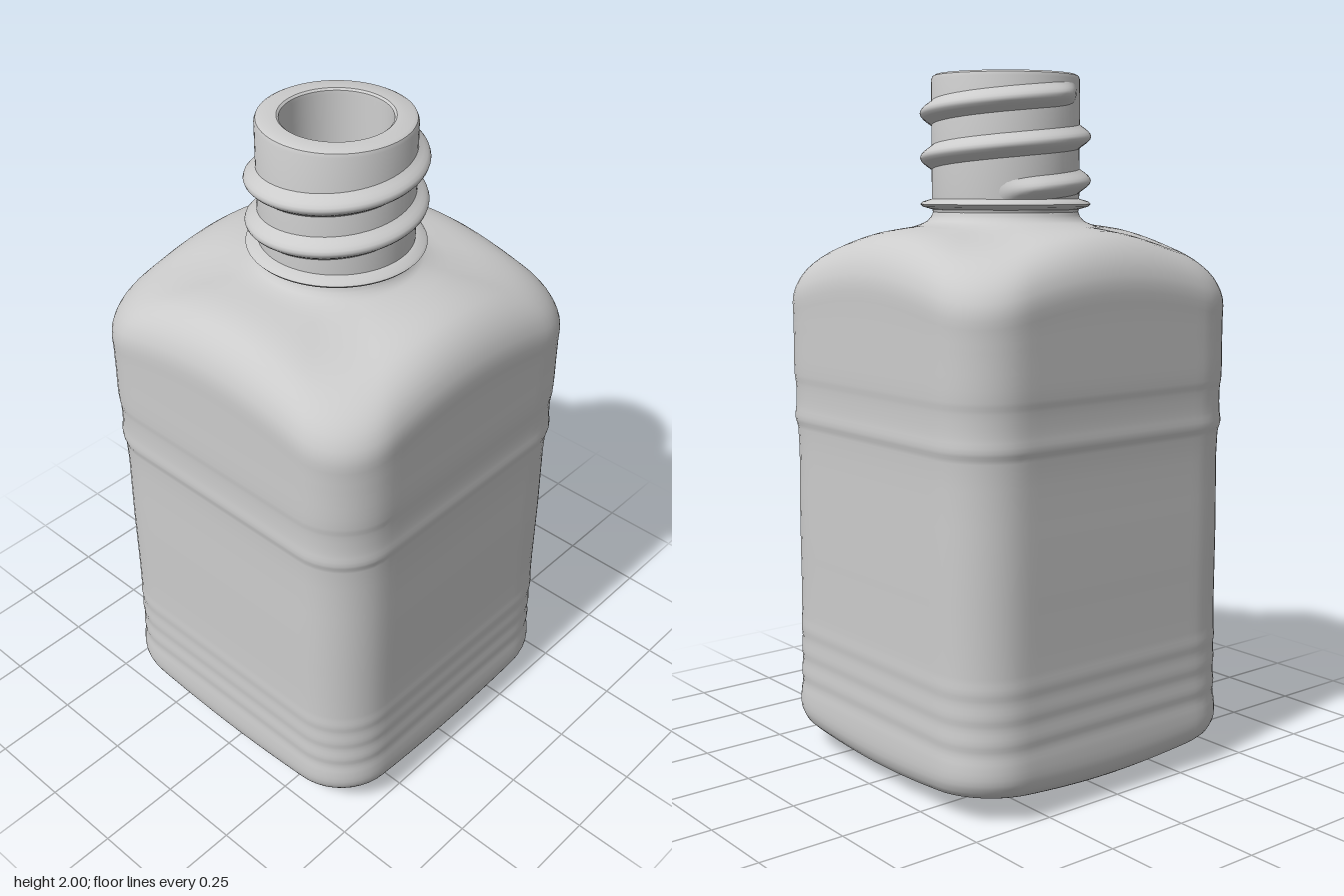
import * as THREE from 'three';
import { toCreasedNormals } from 'three/addons/utils/BufferGeometryUtils.js';

const material = new THREE.MeshStandardMaterial({ color: 0xcccccc, side: THREE.DoubleSide });

// Surface from cross-sections: point(i, j) with i along the loop, j from bottom to top
function gridGeometry(cols, rows, wrap, point) {
  const positions = [], index = [];
  for (let j = 0; j < rows; j++) for (let i = 0; i < cols; i++) positions.push(...point(i, j));
  for (let j = 0; j < rows - 1; j++) {
    for (let i = 0; i < (wrap ? cols : cols - 1); i++) {
      const n = (i + 1) % cols;
      const a = j * cols + i, b = j * cols + n, c = a + cols, d = b + cols;
      index.push(a, b, d, a, d, c);
    }
  }
  const geometry = new THREE.BufferGeometry();
  geometry.setAttribute('position', new THREE.Float32BufferAttribute(positions, 3));
  geometry.setIndex(index);
  geometry.computeVertexNormals();
  return geometry;
}

// Distance from the centre to a rounded square of half-width 1, along an angle
function roundedSquare(angle, corner = 0.35) {
  const c = Math.abs(Math.cos(angle)), s = Math.abs(Math.sin(angle));
  const q = 1 - corner, hi = Math.max(c, s), lo = Math.min(c, s);
  if (lo / hi <= q) return 1 / hi;
  const b = q * (c + s);
  return b + Math.sqrt(b * b - 2 * q * q + corner * corner);
}

// Square body: each section is half-width, height, roundness (0 square, 1 circle)
function bodyGeometry() {
  const sections = [
    [0, 0, 1], [0.2, 0.003, 0.9], [0.33, 0.012, 0.5], [0.4, 0.024, 0.2], [0.45, 0.042, 0.08],
    [0.482, 0.066, 0], [0.495, 0.1, 0], [0.495, 0.16, 0],
    // shallow ripples near the foot
    [0.491, 0.2, 0], [0.493, 0.23, 0], [0.49, 0.27, 0], [0.492, 0.3, 0], [0.49, 0.34, 0],
    [0.492, 0.37, 0], [0.49, 0.41, 0], [0.49, 0.7, 0], [0.49, 0.98, 0],
    // label step
    [0.496, 1.01, 0], [0.493, 1.05, 0], [0.493, 1.11, 0], [0.496, 1.14, 0], [0.496, 1.25, 0],
    [0.496, 1.35, 0],
    // shoulder
    [0.495, 1.43, 0], [0.476, 1.485, 0.02], [0.44, 1.53, 0.1], [0.385, 1.559, 0.3],
    [0.31, 1.572, 0.6], [0.245, 1.581, 0.9], [0.217, 1.597, 1], [0.207, 1.62, 1],
  ];
  const profile = new THREE.CatmullRomCurve3(
    sections.map((s) => new THREE.Vector3(...s)), false, 'centripetal');
  const rows = (sections.length - 1) * 3 + 1, cols = 144;
  const cornerMax = roundedSquare(Math.PI / 4) - 1;
  return gridGeometry(cols, rows, true, (i, j) => {
    const p = profile.getPoint(j / (rows - 1));
    const angle = (i / cols) * Math.PI * 2;
    const square = roundedSquare(angle), round = THREE.MathUtils.clamp(p.z, 0, 1);
    const r = p.x * THREE.MathUtils.lerp(square, 1, round);
    // corners sit lower at the shoulder and higher at the foot
    const k = ((square - 1) / cornerMax) * (1 - round);
    const drop = 0.06 * THREE.MathUtils.smoothstep(p.y, 1.2, 1.43);
    const lift = 0.02 * (1 - THREE.MathUtils.smoothstep(p.y, 0.08, 0.2));
    return [r * Math.cos(angle), p.y + k * (lift - drop), -r * Math.sin(angle)];
  });
}

// Neck with collar, rim, bore and rounded bore floor
function neckGeometry() {
  const outline = [
    [0.207, 1.6], [0.212, 1.62], [0.24, 1.628], [0.246, 1.635], [0.24, 1.642], [0.213, 1.65],
    [0.213, 1.985], [0.209, 1.995], [0.2, 2], [0.155, 2], [0.149, 1.995], [0.148, 1.985],
  ];
  for (let i = 0; i <= 10; i++) {
    const a = (i / 10) * Math.PI / 2;
    outline.push([Math.max(0, 0.148 * Math.cos(a)), 1.65 - 0.148 * Math.sin(a)]);
  }
  const lathe = new THREE.LatheGeometry(outline.map((p) => new THREE.Vector2(...p)), 72);
  return toCreasedNormals(lathe, 0.6);
}

// Helical ridge that sinks into the neck at both ends
function threadGeometry() {
  const start = -Math.PI * 2 - 0.9, end = Math.PI * 2 + 0.7;
  const steps = 180, across = 11, pitch = 0.125;
  return gridGeometry(steps + 1, across, false, (i, j) => {
    const turn = start + (i / steps) * (end - start);
    const fade = THREE.MathUtils.smoothstep(Math.min(turn - start, end - turn), 0, 0.7);
    const v = (j / (across - 1)) * 2 - 1;
    const bump = Math.pow(Math.cos(v * Math.PI / 2), 1.3);
    const r = 0.208 + (0.001 + 0.037 * fade) * bump;
    const y = 1.81 + (pitch * turn) / (Math.PI * 2) + v * 0.038;
    return [-r * Math.cos(turn), y, r * Math.sin(turn)];
  });
}

export function createModel() {
  const bottle = new THREE.Group();
  bottle.name = 'bottle';
  const parts = { body: bodyGeometry(), neck: neckGeometry(), screwThread: threadGeometry() };
  for (const [name, geometry] of Object.entries(parts)) {
    const mesh = new THREE.Mesh(geometry, material);
    mesh.name = name;
    bottle.add(mesh);
  }
  return bottle;
}
